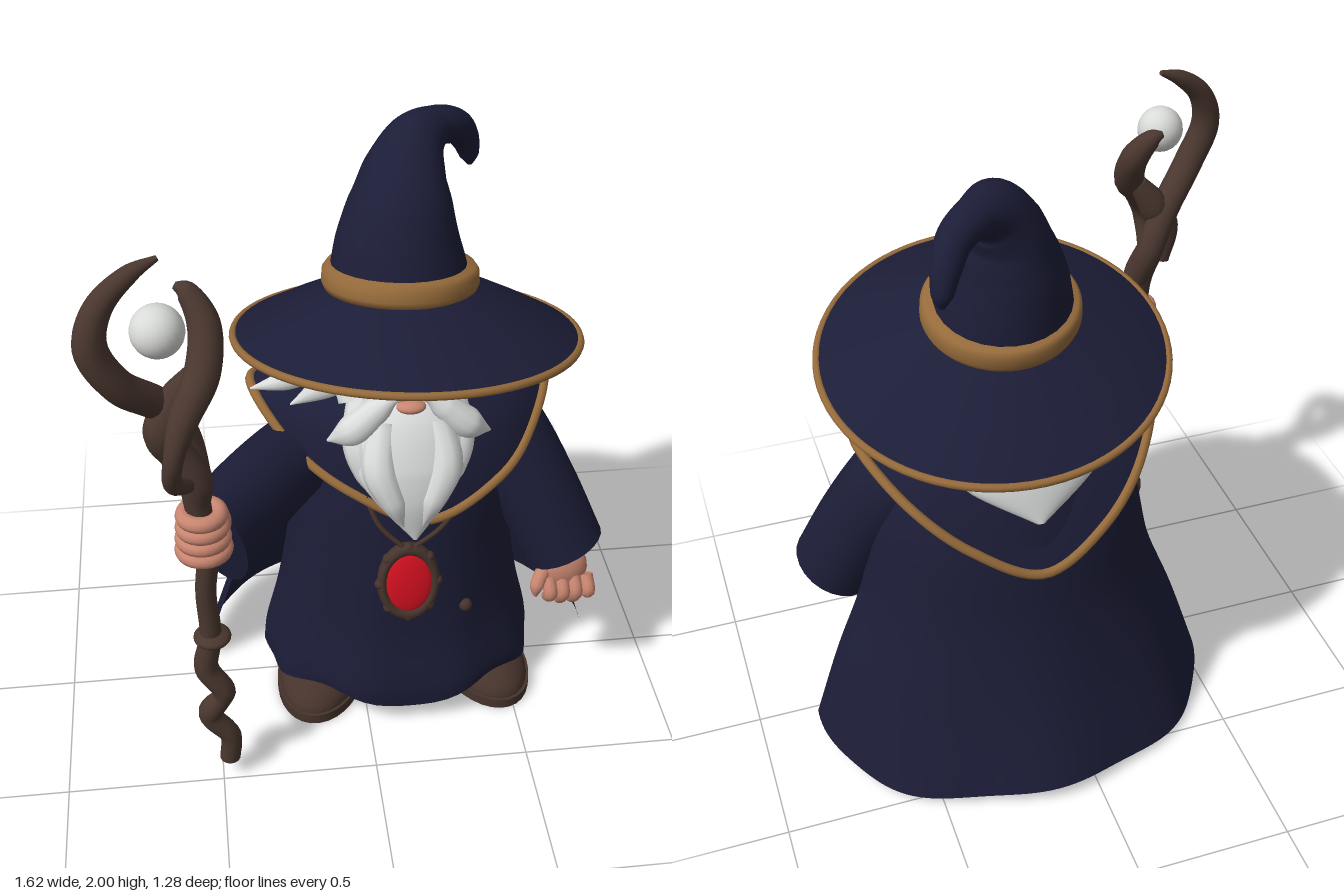
import * as THREE from 'three';

const CX = 0.13; // centre line of the body
const mat = (name, color, side = THREE.FrontSide) =>
  Object.assign(new THREE.MeshStandardMaterial({ color, side }), { name });

// Smooth surface from a rule f(u, v); u runs round, v runs along
function grid(f, nu, nv, wrap = true, caps = false) {
  const pos = [], idx = [], cols = wrap ? nu : nu + 1;
  for (let i = 0; i <= nv; i++)
    for (let j = 0; j < cols; j++) pos.push(...f(j / nu, i / nv));
  for (let i = 0; i < nv; i++)
    for (let j = 0; j < nu; j++) {
      const k = (j + 1) % cols, a = i * cols + j, b = i * cols + k;
      idx.push(a, b, a + cols, b, b + cols, a + cols);
    }
  if (caps) for (const row of [0, nv]) {
    const c = [0, 0, 0], start = pos.length / 3;
    for (let j = 0; j < cols; j++)
      for (let k = 0; k < 3; k++) {
        const p = pos[(row * cols + j) * 3 + k];
        c[k] += p / cols;
        pos.push(p);
      }
    pos.push(...c);
    for (let j = 0; j < cols; j++) {
      const a = start + j, b = start + (j + 1) % cols;
      idx.push(start + cols, ...(row ? [a, b] : [b, a]));
    }
  }
  const g = new THREE.BufferGeometry();
  g.setAttribute('position', new THREE.Float32BufferAttribute(pos, 3));
  g.setIndex(idx);
  g.computeVertexNormals();
  return g;
}

// Tapered tube through [x, y, z, r1, r2]; r1 lies along the ref axis
function sweep(pts, ref = [0, 0, 1], sides = 14, steps = 8) {
  const V = THREE.Vector3;
  const path = new THREE.CatmullRomCurve3(pts.map(p => new V(p[0], p[1], p[2])));
  const rad = new THREE.CatmullRomCurve3(pts.map(p => new V(p[3], p[4] ?? p[3], 0)));
  const axis = new V(...ref);
  return grid((u, v) => {
    const t = path.getTangent(v), b = axis.clone().addScaledVector(t, -axis.dot(t)).normalize();
    const n = t.clone().cross(b), r = rad.getPoint(v), a = u * Math.PI * 2;
    return path.getPoint(v).addScaledVector(b, Math.max(r.x, 0.002) * Math.cos(a))
      .addScaledVector(n, Math.max(r.y, 0.002) * Math.sin(a)).toArray();
  }, sides, (pts.length - 1) * steps, true, true);
}

export function createModel() {
  const root = new THREE.Group();
  const navy = mat('navy cloth', 0x1c1d37, THREE.DoubleSide), gold = mat('gold trim', 0x966b3b);
  const skin = mat('skin', 0xc98670), white = mat('white hair', 0xdcdddd);
  const wood = mat('staff wood', 0x4a372f), leather = mat('boot leather', 0x46332c);
  const red = mat('red gem', 0xd3101f), orbMat = mat('pale orb', 0xd9dbd8);
  const X = [1, 0, 0], Y = [0, 1, 0];

  const add = (name, geo, m, parent = root) => {
    const o = new THREE.Mesh(geo, m);
    o.name = name;
    parent.add(o);
    return o;
  };
  const ball = (name, m, [x, y, z], [a, b, c], parent) => {
    const o = add(name, new THREE.SphereGeometry(1, 24, 16), m, parent);
    o.position.set(x, y, z);
    o.scale.set(a, b, c);
    return o;
  };
  // Same lock of hair on both sides; x is measured from the centre line
  const locks = (name, pts, ref) => [-1, 1].forEach(s =>
    add(name, sweep(pts.map(([x, ...r]) => [CX + s * x, ...r]), ref, 10), white));

  // Robe
  const robe = new THREE.CatmullRomCurve3([[.46, .075, .365], [.455, .15, .367], [.41, .35, .335], [.37, .6, .32],
    [.34, .85, .3], [.3, 1.05, .26], [.2, 1.22, .19]].map(p => new THREE.Vector3(...p)));
  add('robe', grid((u, v) => {
    const p = robe.getPoint(v), a = u * 2 * Math.PI, k = 1 - v, f = 1 + 0.025 * Math.sin(9 * a) * k * k;
    const lift = 0.035 * Math.max(0, -Math.sin(a)) * Math.pow(k, 6) * (1 - Math.cos(4 * a));
    return [0.14 + p.x * f * Math.cos(a), p.y + lift, -0.04 - p.z * f * Math.sin(a)];
  }, 72, 36, true, true), navy);

  // Open cloak behind, with broad folds towards its hem
  const cloak = new THREE.CatmullRomCurve3([[.67, .05, .545], [.58, .33, .447], [.48, .6, .382],
    [.42, .88, .343], [.33, 1.12, .27]].map(p => new THREE.Vector3(...p)));
  add('cloak', grid((u, v) => {
    const p = cloak.getPoint(v), a = -0.04 + u * (Math.PI + 0.08), k = (1 - v) ** 2;
    const f = 1 + 0.02 * Math.cos(8 * a) * k * Math.sin(a);
    return [0.14 + p.x * f * Math.cos(a), p.y - 0.03 * k * Math.sin(2 * a) ** 2, -0.09 - p.z * f * Math.sin(a)];
  }, 80, 28, false), navy);

  // Shoulder cape with trimmed hem
  const hem = new THREE.CatmullRomCurve3([[.6, 1.15, -.08], [.5, 1.05, -.3], [.34, .92, -.41], [.13, .82, -.46],
    [-.08, .92, -.41], [-.23, 1.05, -.3], [-.335, 1.16, -.08], [-.21, 1.03, .13], [-.045, .935, .245],
    [.18, .855, .3], [.42, .96, .23], [.525, 1.05, .12]].map(p => new THREE.Vector3(...p)), true);
  add('shoulderCape', grid((u, v) => {
    const h = hem.getPoint(u % 1), a = u * 2 * Math.PI, back = Math.max(0, Math.sin(a));
    const b = Math.sin(v * Math.PI) * 0.037 * (1 - 0.7 * back);
    const neck = new THREE.Vector3(CX + 0.2 * Math.cos(a), 1.25 - 0.03 * back, -0.06 - 0.2 * Math.sin(a));
    return h.lerp(neck, v).add(new THREE.Vector3(b * Math.cos(a), b * 0.5, -b * Math.sin(a))).toArray();
  }, 72, 12), navy);
  add('capeTrim', new THREE.TubeGeometry(hem, 120, 0.016, 8, true), gold);

  // Sleeves
  add('leftSleeve', sweep([[.38, 1.06, -.05, .1], [.46, .97, -.03, .16, .14], [.57, .77, .04, .15, .14],
    [.67, .55, .1, .145, .138]], [0, 0, 1], 24), navy);
  add('rightSleeve', sweep([[-.06, 1.0, -.08, .1], [-.21, .95, .04, .13, .13], [-.345, .93, .2, .158, .125],
    [-.475, .885, .352, .188, .115]], Y, 24), navy);

  // Left hand
  ball('leftPalm', skin, [.655, .515, .17], [.085, .085, .055]);
  for (let i = 0; i < 4; i++) {
    const x = 0.605 + i * 0.042, low = 0.4 + (i === 3 ? 0.03 : 0) + (i === 0 ? 0.015 : 0);
    add('leftFinger', sweep([[x, .5, .2, .023], [x + .005, .45, .227, .024], [x, low, .2, .018],
      [x, low - .015, .19, .004]], X, 10), skin);
  }
  add('leftThumb', sweep([[.6, .54, .18, .025], [.565, .48, .215, .024], [.56, .44, .225, .006]], X, 10), skin);

  // Right hand gripping the staff
  add('rightWrist', sweep([[-.44, .95, .32, .05], [-.5, 1.02, .42, .06]], Y), skin);
  ball('rightPalm', skin, [-.5, 1.02, .44], [.075, .08, .055]);
  for (let i = 0; i < 4; i++) {
    const f = add('rightFinger', new THREE.TorusGeometry(0.062 - i * 0.003, 0.025, 10, 24), skin);
    f.rotation.x = Math.PI / 2;
    f.position.set(-.51, .955 + i * .041, .475);
  }

  // Twisted staff
  add('staffShaft', sweep([[-.475, .07, .47, .033], [-.47, .17, .47, .034], [-.53, .27, .47, .036],
    [-.48, .37, .48, .036], [-.53, .47, .47, .038], [-.51, .6, .47, .034], [-.515, .78, .47, .032],
    [-.5, .95, .475, .034], [-.52, 1.12, .475, .04], [-.52, 1.2, .475, .05], [-.57, 1.32, .47, .045]]), wood);
  ball('staffKnot', wood, [-.505, .6, .47], [.058, .025, .058]);
  add('tallHorn', sweep([[-.51, 1.18, .47, .04], [-.54, 1.32, .43, .045], [-.6, 1.45, .46, .047], [-.705, 1.57, .53, .048],
    [-.765, 1.7, .545, .047], [-.735, 1.81, .53, .038], [-.65, 1.89, .505, .026], [-.575, 1.925, .49, .008]]), wood);
  add('shortHorn', sweep([[-.53, 1.2, .48, .03], [-.58, 1.26, .57, .027], [-.575, 1.36, .605, .028], [-.54, 1.47, .57, .042],
    [-.48, 1.57, .49, .05], [-.468, 1.68, .42, .046], [-.51, 1.76, .38, .03], [-.54, 1.775, .37, .01]], X), wood);
  add('staffRoot', sweep([[-.57, 1.27, .45, .045], [-.6, 1.38, .48, .055], [-.56, 1.47, .47, .05],
    [-.5, 1.56, .47, .03]], X), wood);
  ball('orb', orbMat, [-.59, 1.72, .51], [.074, .074, .074]);

  // Face
  ball('head', skin, [CX, 1.35, .04], [.172, .19, .168]);
  add('nose', sweep([[CX, 1.4, .18, .018], [CX, 1.35, .21, .024], [CX, 1.305, .23, .034], [CX, 1.275, .21, .012]], X), skin);
  ball('lowerLip', skin, [CX, 1.235, .23], [.045, .02, .03]);
  for (const s of [-1, 1]) {
    ball('eyelid', skin, [CX + s * .08, 1.37, .172], [.042, .03, .025]);
    ball('iris', leather, [CX + s * .076, 1.37, .193], [.012, .009, .006]);
  }

  // Beard, moustache and hair
  add('beard', sweep([[.13, 1.22, .13, .13, .07], [.13, 1.13, .2, .17, .08], [.13, 1.02, .255, .165, .07],
    [.135, .92, .285, .11, .05], [.14, .79, .31, .006]], X, 24), white);
  locks('beardLock', [[.08, 1.17, .21, .05], [.1, 1.05, .28, .055, .05], [.06, .94, .31, .04], [.03, .85, .32, .003]], X);
  locks('outerBeardLock', [[.13, 1.22, .12, .05], [.15, 1.1, .2, .055], [.13, 1.0, .24, .04], [.09, .91, .27, .003]], X);
  locks('moustache', [[.0, 1.27, .225, .013], [.05, 1.265, .225, .018], [.1, 1.225, .22, .042], [.17, 1.16, .22, .05],
    [.25, 1.11, .2, .004]]);
  locks('eyebrow', [[.03, 1.41, .195, .008], [.08, 1.425, .19, .018], [.16, 1.425, .15, .004]]);
  locks('sideburn', [[.18, 1.42, .02, .045], [.19, 1.32, .05, .045], [.16, 1.2, .12, .05]]);
  locks('upperTuft', [[.15, 1.36, .03, .04], [.23, 1.34, .06, .035], [.33, 1.345, .07, .003]]);
  locks('longTuft', [[.13, 1.31, 0, .06], [.25, 1.29, .03, .055], [.36, 1.235, .04, .035], [.47, 1.21, .04, .003]]);
  locks('lowerTuft', [[.14, 1.27, .05, .05], [.23, 1.23, .07, .045], [.35, 1.155, .06, .003]]);
  add('backHair', sweep([[CX, 1.42, -.08, .2, .14], [CX, 1.3, -.155, .27, .16], [CX, 1.19, -.255, .29, .1],
    [CX, 1.09, -.35, .19, .058], [CX, .985, -.42, .012]], X, 28), white);

  // Tilted hat brim, trim and band
  const hat = new THREE.Group();
  hat.name = 'hatBrim';
  hat.position.set(.147, 1.345, -.015);
  hat.rotation.set(-.205, 0, -.035);
  root.add(hat);
  const lathe = pts => new THREE.LatheGeometry(pts.map(p => new THREE.Vector2(...p)), 64);
  add('brim', lathe([[.17, .15], [.22, .115], [.38, .052], [.53, -.008], [.535, .004], [.4, .073], [.3, .12],
    [.225, .152], [.18, .17]]), navy, hat);
  add('brimTrim', new THREE.TorusGeometry(.53, .013, 8, 72).rotateX(Math.PI / 2), gold, hat);
  add('hatBand', lathe([[.2, .14], [.232, .15], [.24, .17], [.238, .205], [.226, .222], [.19, .226]]), gold, hat)
    .position.x = -.022;

  // Bent hat crown
  add('hatCrown', sweep([[.125, 1.54, -.055, .212], [.125, 1.64, -.07, .195, .185], [.135, 1.75, -.09, .17, .148],
    [.15, 1.84, -.12, .135, .115], [.19, 1.91, -.165, .092], [.25, 1.93, -.215, .062], [.32, 1.905, -.265, .053],
    [.36, 1.845, -.31, .044], [.38, 1.78, -.335, .031], [.385, 1.745, -.34, .01]], [.5, 0, .87], 28), navy);

  // Pendant on a cord: rimmed setting with a shallow gem
  const pendant = new THREE.Group();
  pendant.name = 'pendant';
  pendant.position.set(.118, .64, .33);
  pendant.rotation.x = -.15;
  root.add(pendant);
  ball('setting', leather, [0, 0, -.005], [.092, .13, .025], pendant);
  add('settingRim', new THREE.TorusGeometry(.084, .016, 10, 32), leather, pendant).scale.set(1, 1.4, 1.5);
  ball('gem', red, [0, 0, .008], [.077, .11, .021], pendant);
  for (let i = 0; i < 8; i++) {
    const a = i * Math.PI / 4;
    ball('stud', leather, [.09 * Math.cos(a), .125 * Math.sin(a), .005], [.018, .018, .018], pendant);
  }
  add('leftCord', sweep([[.29, .9, .27, .008], [.22, .82, .3, .008], [.125, .76, .32, .008]], X, 8), leather);
  add('rightCord', sweep([[-.01, .93, .26, .008], [.03, .84, .295, .008], [.11, .76, .32, .008]], X, 8), leather);
  ball('button', leather, [.32, .455, .255], [.022, .022, .022]);

  // Boots
  for (const s of [-1, 1]) {
    const boot = new THREE.Group();
    boot.name = s > 0 ? 'leftBoot' : 'rightBoot';
    boot.position.set(.143 + s * .28, 0, .045);
    boot.rotation.y = s * .25;
    root.add(boot);
    const sole = add('sole', new THREE.CylinderGeometry(1, 1, .035, 32), leather, boot);
    sole.position.y = .0175;
    sole.scale.set(.15, 1, .25);
    const upper = add('upper', new THREE.SphereGeometry(1, 28, 10, 0, Math.PI * 2, 0, Math.PI / 2), leather, boot);
    upper.position.y = .03;
    upper.scale.set(.142, .1, .24);
    ball('ankle', leather, [0, .09, -.06], [.1, .08, .12], boot);
  }
  return root;
}
